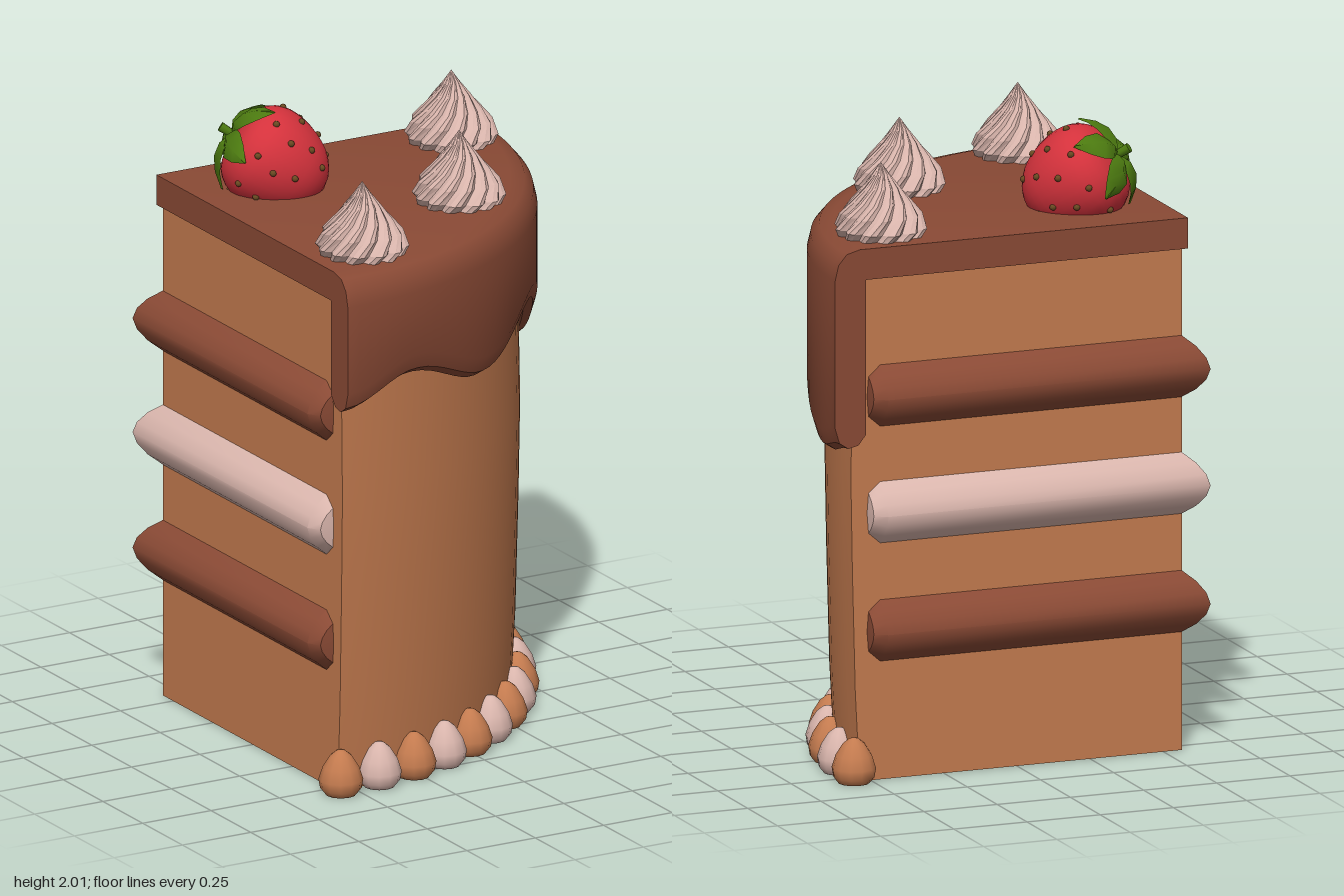
import * as THREE from 'three';
import { toCreasedNormals } from 'three/addons/utils/BufferGeometryUtils.js';

const mat = (name, color, side = THREE.FrontSide) => {
  const m = new THREE.MeshStandardMaterial({ color, side });
  m.name = name;
  return m;
};

// Skin a grid of points (rows of [x, y, z]); caps are extra index triples
function skin(rows, crease, caps = []) {
  const n = rows[0].length, index = [...caps];
  for (let i = 0; i < rows.length - 1; i++) {
    for (let j = 0; j < n - 1; j++) {
      const a = i * n + j, b = a + n;
      index.push(a, b, b + 1, a, b + 1, a + 1);
    }
  }
  const g = new THREE.BufferGeometry();
  g.setAttribute('position', new THREE.Float32BufferAttribute(rows.flat(2), 3));
  g.setIndex(index);
  return toCreasedNormals(g, crease);
}

// Quarter-round solid swept about a vertical edge at (c, c); profile is [radius, y]
function quarter(c, profileAt, steps) {
  const rows = [];
  for (let i = 0; i <= steps; i++) {
    const t = (i / steps) * Math.PI / 2;
    rows.push(profileAt((90 * i) / steps).map(([r, y]) => [c + r * Math.sin(t), y, c + r * Math.cos(t)]));
  }
  const flat = (deg) => THREE.ShapeUtils.triangulateShape(profileAt(deg).map((p) => new THREE.Vector2(...p)), []);
  const last = steps * rows[0].length;
  const caps = [];
  flat(0).forEach(([a, b, d]) => caps.push(a, b, d));
  flat(90).forEach(([a, b, d]) => caps.push(last + a, last + d, last + b));
  return skin(rows, 0.65, caps);
}

// Height of the dripping icing edge at an angle in degrees
const drips = [[0, 1.29], [13, 1.37], [31, 1.27], [50, 1.37], [82, 1.065], [90, 1.1]];
function dripY(deg) {
  let k = 0;
  while (k < drips.length - 2 && deg > drips[k + 1][0]) k++;
  const [a, ya] = drips[k], [b, yb] = drips[k + 1];
  return ya + (yb - ya) * (0.5 - 0.5 * Math.cos(Math.PI * (deg - a) / (b - a)));
}

// Filling bead wrapped around both cut faces, mitred at the corner
function fillingGeometry() {
  const section = [[-0.02, 0.1], [0, 0.1], [0.035, 0.07], [0.06, 0.035], [0.07, 0],
    [0.06, -0.035], [0.035, -0.07], [0, -0.1], [-0.02, -0.1]];
  const ends = [[0, 0.515], [0.65, 0.51], [1, 0.47]];
  const c = -0.56;
  const left = ends.map(([s, d]) => section.map(([u, v]) => [c - u * s, v * s, d]));
  const corner = section.map(([u, v]) => [c - u, v, c - u]);
  const back = ends.map(([s, d]) => section.map(([u, v]) => [d, v * s, c - u * s])).reverse();
  return skin([...left, corner, ...back], 0.7);
}

// Piped swirl with twelve twisted ridges
function swirlGeometry() {
  const profile = [[0, 0], [0.135, 0], [0.15, 0.03], [0.132, 0.075], [0.098, 0.115],
    [0.06, 0.16], [0.028, 0.2], [0, 0.24]];
  const rows = [];
  for (let i = 0; i <= 48; i++) {
    const a = (i / 48) * Math.PI * 2;
    rows.push(profile.map(([r, y]) => {
      const t = a + y * 6, rr = r * (0.84 + 0.16 * Math.abs(Math.sin(6 * a)));
      return [rr * Math.sin(t), y, rr * Math.cos(t)];
    }));
  }
  return skin(rows, 0.5);
}

// Pointed leaf following the curve of the berry
function leafGeometry() {
  const stations = [[0, 0.155, 0.012], [0.045, 0.172, 0.038], [0.09, 0.164, 0.05],
    [0.13, 0.135, 0.036], [0.165, 0.09, 0.001]];
  return skin(stations.map(([r, y, w]) => [[r, y - w * 0.25, -w], [r, y + 0.008, 0], [r, y - w * 0.25, w]]), 0.9);
}

export function createModel() {
  const model = new THREE.Group();
  const sponge = mat('sponge', 0xc47b4f);
  const chocolate = mat('chocolate', 0x8a4a35);
  const cream = mat('cream', 0xd9b5ac);
  const red = mat('berry red', 0xd4323c);
  const green = mat('leaf green', 0x4c7a10, THREE.DoubleSide);
  const seedColor = mat('seed', 0x6a4a22);
  const add = (name, geometry, material, parent = model) => {
    const m = new THREE.Mesh(geometry, material);
    m.name = name;
    parent.add(m);
    return m;
  };

  // Slice and its dripping icing
  add('cakeSlice', quarter(-0.56, () => [[0, 0.01], [1.1, 0.01], [1.115, 0.3], [1.125, 0.7], [1.13, 1],
    [1.125, 1.3], [1.12, 1.66], [0, 1.66]], 24), sponge);
  add('icing', quarter(-0.575, (deg) => {
    const y = dripY(deg);
    return [[0, 1.645], [1.1, 1.645], [1.1, y + 0.04], [1.125, y + 0.008], [1.16, y], [1.19, y + 0.02],
      [1.205, y + 0.07], [1.205, 1.65], [1.193, 1.7], [1.165, 1.733], [1.12, 1.745], [0, 1.745]];
  }, 45), chocolate);

  // Fillings
  const filling = fillingGeometry();
  [[0.495, chocolate], [0.88, cream], [1.26, chocolate]].forEach(([y, m]) => {
    add('filling', filling, m).position.y = y;
  });

  // Piped drops along the round foot
  const drop = new THREE.LatheGeometry([[0, 0], [0.05, 0], [0.066, 0.02], [0.071, 0.05], [0.058, 0.09],
    [0.035, 0.127], [0.015, 0.143], [0, 0.147]].map((p) => new THREE.Vector2(...p)), 12);
  for (let i = 0; i <= 12; i++) {
    const t = (i / 12) * Math.PI / 2;
    add('footDrop', drop, i % 2 ? cream : sponge)
      .position.set(-0.56 + 1.12 * Math.sin(t), 0.008, -0.56 + 1.12 * Math.cos(t));
  }

  // Cream swirls on top
  const swirl = swirlGeometry();
  [[0.405, -0.405], [0.125, 0.125], [-0.395, 0.41]].forEach(([x, z]) => {
    add('creamSwirl', swirl, cream).position.set(x, 1.74, z);
  });

  // Strawberry, built upright and then tipped toward the back corner
  const berry = new THREE.Group();
  berry.name = 'strawberry';
  berry.position.set(-0.31, 1.832, -0.285);
  berry.quaternion.setFromUnitVectors(new THREE.Vector3(0, 1, 0), new THREE.Vector3(-0.65, 0.5, -0.45).normalize());
  model.add(berry);
  const outline = new THREE.SplineCurve([[0, -0.18], [0.06, -0.165], [0.115, -0.118], [0.15, -0.05], [0.164, 0.02],
    [0.155, 0.08], [0.115, 0.13], [0.05, 0.15], [0, 0.15]].map((p) => new THREE.Vector2(...p)));
  add('berryBody', new THREE.LatheGeometry(outline.getPoints(20).map((p) => p.setX(Math.max(p.x, 0))), 28), red, berry);
  const seed = new THREE.SphereGeometry(0.011, 8, 6);
  [[-0.13, 0.105, 5], [-0.07, 0.142, 8], [0, 0.162, 9], [0.07, 0.158, 8]].forEach(([y, r, n], k) => {
    for (let i = 0; i < n; i++) {
      const a = ((i + k * 0.5) / n) * Math.PI * 2;
      add('seed', seed, seedColor, berry).position.set(r * Math.cos(a), y, r * Math.sin(a));
    }
  });
  const leaf = leafGeometry();
  for (let i = 0; i < 5; i++) add('leaf', leaf, green, berry).rotation.y = (i / 5) * Math.PI * 2 + 0.3;
  add('stem', new THREE.CylinderGeometry(0.016, 0.013, 0.05, 8), green, berry).position.y = 0.18;

  return model;
}
